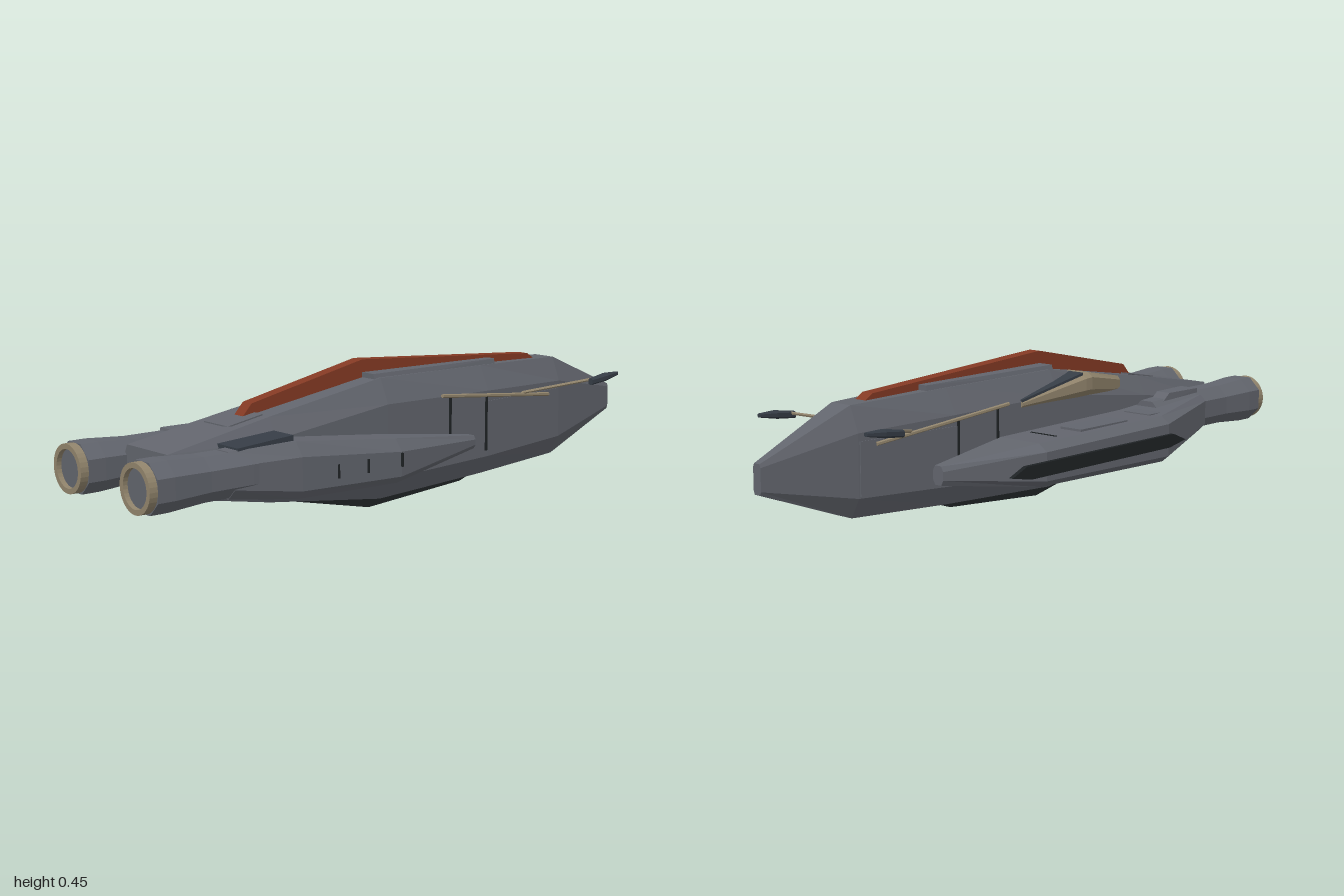
import * as THREE from 'three';
import { ConvexGeometry } from 'three/addons/geometries/ConvexGeometry.js';

const CX = 0.045; // hull centre line

export function createModel() {
  const group = new THREE.Group();
  const mat = (name, color) => {
    const m = new THREE.MeshStandardMaterial({ color, flatShading: true });
    m.name = name;
    return m;
  };
  const hullGrey = mat('hull grey', 0x62656d);
  const rust = mat('rust red', 0x843a24);
  const tan = mat('tan', 0x91846c);
  const slate = mat('dark slate', 0x363d46);
  const black = mat('near black', 0x1e2224);

  const add = (name, geometry, material) => {
    const mesh = new THREE.Mesh(geometry, material);
    mesh.name = name;
    group.add(mesh);
    return mesh;
  };
  const box = (name, m, x0, x1, y0, y1, z0, z1) => {
    const b = add(name, new THREE.BoxGeometry(x1 - x0, y1 - y0, z1 - z0), m);
    b.position.set((x0 + x1) / 2, (y0 + y1) / 2, (z0 + z1) / 2);
    return b;
  };
  const convex = (name, m, pts) =>
    add(name, new ConvexGeometry(pts.map(p => new THREE.Vector3(...p))), m);

  // Eight-sided cross-section: extents plus chamfers at the top and bottom corners
  const section = (z, x0, x1, y0, y1, topX, topY, botX, botY) => [
    [x0 + botX, y0, z], [x1 - botX, y0, z], [x1, y0 + botY, z], [x1, y1 - topY, z],
    [x1 - topX, y1, z], [x0 + topX, y1, z], [x0, y1 - topY, z], [x0, y0 + botY, z],
  ];
  // Flat-faced skin over sections ordered from low z to high z
  const loft = (name, m, sections) => {
    const out = [];
    const tri = (...p) => p.forEach(v => out.push(...v));
    const n = sections[0].length, last = sections[sections.length - 1];
    for (let i = 0; i < sections.length - 1; i++)
      for (let j = 0; j < n; j++) {
        const k = (j + 1) % n, a = sections[i], b = sections[i + 1];
        tri(a[j], a[k], b[k]);
        tri(a[j], b[k], b[j]);
      }
    for (let j = 1; j < n - 1; j++) {
      tri(sections[0][0], sections[0][j + 1], sections[0][j]);
      tri(last[0], last[j], last[j + 1]);
    }
    const g = new THREE.BufferGeometry();
    g.setAttribute('position', new THREE.Float32BufferAttribute(out, 3));
    g.computeVertexNormals();
    return add(name, g, m);
  };
  // Side profile in (z, y) given a thickness in x
  const blade = (name, m, x0, x1, profile) => {
    const shape = new THREE.Shape(profile.map(p => new THREE.Vector2(-p[0], p[1])));
    const g = new THREE.ExtrudeGeometry(shape, { depth: x1 - x0, bevelEnabled: false });
    g.rotateY(Math.PI / 2);
    g.translate(x0, 0, 0);
    return add(name, g, m);
  };
  const rod = (name, m, a, b, r) => {
    const p = new THREE.Vector3(...a), q = new THREE.Vector3(...b);
    const mesh = add(name, new THREE.CylinderGeometry(r, r, p.distanceTo(q), 6), m);
    mesh.position.copy(p).lerp(q, 0.5);
    mesh.quaternion.setFromUnitVectors(new THREE.Vector3(0, 1, 0), q.sub(p).normalize());
    return mesh;
  };

  // Main hull
  const hull = (z, w, ...rest) => section(z, CX - w, CX + w, ...rest);
  loft('hull', hullGrey, [
    hull(-1, 0.015, 0.175, 0.26, 0.004, 0.01, 0.004, 0.01),
    hull(-0.7, 0.068, 0.065, 0.383, 0.03, 0.075, 0.032, 0.06),
    hull(-0.35, 0.097, 0.05, 0.392, 0.037, 0.075, 0.036, 0.06),
    hull(0.08, 0.113, 0.035, 0.4, 0.034, 0.075, 0.038, 0.065),
    hull(0.5, 0.12, 0.09, 0.335, 0.033, 0.06, 0.034, 0.06),
    hull(0.85, 0.122, 0.155, 0.275, 0.025, 0.055, 0.02, 0.055),
  ]);

  // Roof plate, dorsal spine and keel
  convex('roofPlate', hullGrey, [-0.42, 0.1].flatMap(z =>
    [[-0.078, 0.388], [0.078, 0.388], [-0.07, 0.412], [0.07, 0.412]]
      .map(([x, y]) => [CX + x * (z < 0 ? 0.7 : 1), y - (z < 0 ? 0.006 : 0), z])));
  blade('dorsalSpine', rust, 0.025, 0.065, [[0.55, 0.322], [0.51, 0.365], [0.1, 0.45],
    [-0.6, 0.402], [-0.635, 0.38], [0.08, 0.39]]);
  blade('keel', black, 0.02, 0.07, [[0.42, 0.08], [0.36, 0.06], [0.08, 0], [-0.3, 0.027],
    [-0.38, 0.055], [0, 0.08]]);
  convex('rearDeckPanel', hullGrey, [[-0.05, 0.339, 0.5], [0.14, 0.339, 0.5],
    [-0.05, 0.318, 0.62], [0.14, 0.318, 0.62], [-0.05, 0.3, 0.62], [0.14, 0.3, 0.5]]
    .map(([x, y, z]) => [CX + (x - CX) * 0.6, y, z]));

  // Side panels, seams and antennas, mirrored about the hull centre line
  for (const s of [1, -1]) {
    const X = w => CX + s * w;
    const side = s > 0 ? 'left' : 'right';
    convex(side + 'SidePanel', hullGrey, [0.13, 0.285].flatMap(y =>
      [[0.071, -0.695], [0.1, -0.345], [0.06, -0.695], [0.09, -0.345]]
        .map(([w, z]) => [X(w), y, z])));
    for (const [z, w, y0, y1] of [[-0.34, 0.098, 0.13, 0.305], [-0.18, 0.104, 0.14, 0.315]])
      box(side + 'Seam', black, X(w) - 0.003, X(w) + 0.003, y0, y1, z - 0.004, z + 0.004);
    rod(side + 'Rail', tan, [X(0.112), 0.325, -0.14], [X(0.078), 0.272, -0.64], 0.006);
    rod(side + 'AntennaStrut', tan, [X(0.08), 0.29, -0.51], [X(0.218), 0.332, -0.7], 0.005);
    loft(side + 'AntennaPod', slate, [
      section(-0.81, X(0.218) - 0.006, X(0.218) + 0.006, 0.333, 0.344, 0.002, 0.002, 0.002, 0.002),
      section(-0.75, X(0.22) - 0.014, X(0.22) + 0.014, 0.322, 0.345, 0.006, 0.006, 0.006, 0.006),
      section(-0.68, X(0.222) - 0.009, X(0.222) + 0.009, 0.315, 0.335, 0.004, 0.004, 0.004, 0.004),
    ]);
  }

  // Long pod on the model's right
  loft('rightPod', hullGrey, [
    section(-0.51, -0.16, -0.12, 0.15, 0.205, 0.008, 0.015, 0.008, 0.015),
    section(-0.2, -0.27, -0.06, 0.11, 0.237, 0.03, 0.022, 0.025, 0.02),
    section(0.37, -0.272, -0.045, 0.1, 0.243, 0.03, 0.022, 0.025, 0.02),
    section(0.68, -0.183, -0.06, 0.15, 0.265, 0.02, 0.02, 0.02, 0.02),
  ]);
  blade('rightPodFin', black, -0.284, -0.27, [[0.44, 0.165], [0.36, 0.15], [-0.28, 0.15],
    [-0.36, 0.165], [-0.3, 0.19], [0.38, 0.19]]);
  convex('rightNacelleFairing', hullGrey, [[-0.15, 0.24, 0.47], [-0.1, 0.24, 0.47],
    [-0.15, 0.286, 0.53], [-0.1, 0.286, 0.53], [-0.155, 0.286, 0.67], [-0.09, 0.286, 0.67],
    [-0.155, 0.23, 0.68], [-0.09, 0.23, 0.68]]);
  box('rightPodHatch', hullGrey, -0.22, -0.14, 0.235, 0.246, 0.01, 0.23);
  box('rightPodHatch', hullGrey, -0.21, -0.11, 0.235, 0.246, 0.35, 0.44);
  box('rightPodSeam', black, -0.21, -0.11, 0.232, 0.24, -0.093, -0.087);

  // Shorter pod on the model's left
  loft('leftPod', hullGrey, [
    section(-0.23, 0.165, 0.21, 0.16, 0.2, 0.008, 0.012, 0.008, 0.012),
    section(0.13, 0.13, 0.275, 0.113, 0.243, 0.03, 0.035, 0.022, 0.022),
    section(0.5, 0.14, 0.28, 0.122, 0.283, 0.03, 0.04, 0.022, 0.025),
    section(0.72, 0.155, 0.266, 0.15, 0.28, 0.03, 0.035, 0.03, 0.03),
  ]);
  convex('leftPodDarkBox', slate, [0.145, 0.24].flatMap(x =>
    [[0.26, 0.5], [0.299, 0.5], [0.286, 0.69], [0.25, 0.69]].map(([y, z]) => [x, y, z])));
  for (const z of [0.13, 0.26, 0.37])
    box('leftPodSeam', black, 0.274, 0.281, 0.165, 0.205, z - 0.003, z + 0.003);

  // Engine nacelles with exhaust rings
  for (const [side, x] of [['left', 0.21], ['right', -0.12]]) {
    const oct = (z, r) => section(z, x - r, x + r, 0.216 - r, 0.216 + r,
      r * 0.55, r * 0.55, r * 0.55, r * 0.55);
    loft(side + 'Nacelle', hullGrey, [oct(0.45, 0.05), oct(0.66, 0.062), oct(0.8, 0.062),
      oct(0.92, 0.07), oct(0.975, 0.07)]);
    const ring = new THREE.Shape().absarc(0, 0, 0.07, 0, Math.PI * 2);
    ring.holes.push(new THREE.Path().absarc(0, 0, 0.055, 0, Math.PI * 2, true));
    add(side + 'ExhaustRing', new THREE.ExtrudeGeometry(ring,
      { depth: 0.03, bevelEnabled: false, curveSegments: 16 }), tan).position.set(x, 0.216, 0.97);
    add(side + 'ExhaustDisc', new THREE.CircleGeometry(0.056, 32), hullGrey)
      .position.set(x, 0.216, 0.985);
  }

  // Offset cockpit with a sloping dark window
  loft('cockpit', tan, [
    section(-0.08, -0.068, -0.03, 0.305, 0.325, 0.006, 0.006, 0.006, 0.006),
    section(0.17, -0.105, 0.01, 0.3, 0.382, 0.018, 0.014, 0.045, 0.032),
    section(0.2, -0.104, 0.01, 0.3, 0.384, 0.018, 0.014, 0.045, 0.032),
    section(0.39, -0.06, 0.01, 0.295, 0.348, 0.01, 0.012, 0.012, 0.012),
  ]);
  convex('cockpitWindow', slate, [[-0.066, -0.08, 0.324], [-0.03, -0.08, 0.324],
    [-0.092, 0.17, 0.381], [0, 0.17, 0.381]]
    .flatMap(([x, z, y]) => [[x, y - 0.003, z], [x, y + 0.005, z]]));

  return group;
}
